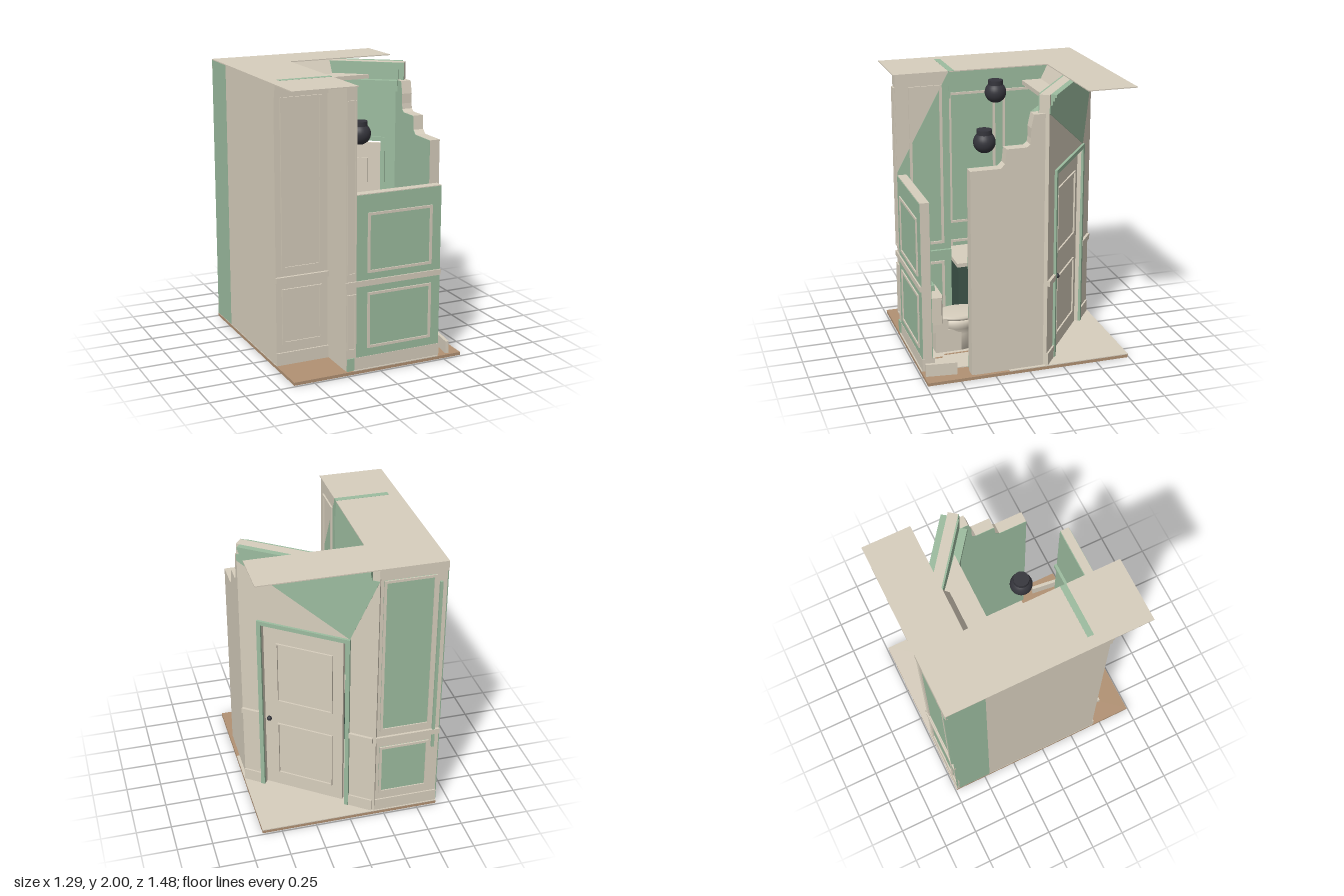
import * as THREE from 'three';

const mat = (name, color) => {
  const m = new THREE.MeshStandardMaterial({ color });
  m.name = name;
  return m;
};

export function createModel() {
  const beige = mat('warm beige', 0xd7cebd);
  const green = mat('sage green', 0x9cbc9f);
  const brown = mat('wood brown', 0xb19173);
  const black = mat('charcoal', 0x35353c);
  const dark = mat('deep green', 0x3d5449);
  const root = new THREE.Group();

  const add = (parent, name, geo, m) => {
    const mesh = new THREE.Mesh(geo, m);
    mesh.name = name;
    parent.add(mesh);
    return mesh;
  };
  // box from minimum and maximum corners
  const box = (parent, name, m, x0, x1, y0, y1, z0, z1) => {
    const b = add(parent, name, new THREE.BoxGeometry(x1 - x0, y1 - y0, z1 - z0), m);
    b.position.set((x0 + x1) / 2, (y0 + y1) / 2, (z0 + z1) / 2);
    return b;
  };
  const shapeOf = (pts) => new THREE.Shape(pts.map(([x, y]) => new THREE.Vector2(x, y)));
  const extrude = (shape, depth) => new THREE.ExtrudeGeometry(shape, { depth, bevelEnabled: false });
  // upright prism over a floor outline of [x, z] points
  const prism = (parent, name, m, pts, y0, y1) => {
    const g = extrude(shapeOf(pts.map(([x, z]) => [x, -z])), y1 - y0);
    g.rotateX(-Math.PI / 2);
    g.translate(0, y0, 0);
    return add(parent, name, g, m);
  };
  // sideways prism over a [z, y] outline
  const sidePrism = (parent, name, m, pts, x0, x1) => {
    const g = extrude(shapeOf(pts.map(([z, y]) => [-z, y])), x1 - x0);
    g.rotateY(Math.PI / 2);
    g.translate(x0, 0, 0);
    return add(parent, name, g, m);
  };
  // moulded panel facing local +z, centred on its origin; without a fill only the frame is built
  const panel = (parent, x, y, z, rotY, w, h, fill, t = 0.018) => {
    const p = new THREE.Group();
    p.name = 'wallPanel';
    p.position.set(x, y, z);
    p.rotation.y = rotY;
    if (fill) box(p, 'panelField', fill, -w / 2, w / 2, -h / 2, h / 2, 0, 0.004);
    for (const s of [-1, 1]) {
      const cx = s * (w / 2 - t / 2), cy = s * (h / 2 - t / 2);
      box(p, 'panelStile', beige, cx - t / 2, cx + t / 2, -h / 2, h / 2, 0, 0.012);
      box(p, 'panelRail', beige, -w / 2 + t, w / 2 - t, cy - t / 2, cy + t / 2, 0, 0.012);
    }
    parent.add(p);
  };
  // tall panel over a short one, as on a full height wall
  const panelPair = (parent, x, z, rotY, w, fill, top = 1.905, t = 0.018) => {
    panel(parent, x, (top + 0.72) / 2, z, rotY, w, top - 0.72, fill, t);
    panel(parent, x, 0.38, z, rotY, w, 0.4, fill, t);
  };
  // skirting and chair rail along a run from x0 to x1, s gives the facing
  const trims = (parent, x0, x1, z, s = 1) => {
    for (const [name, y0, y1, d] of [['skirting', 0.03, 0.12, 0.012], ['chairRail', 0.63, 0.67, 0.02]])
      box(parent, name, beige, x0, x1, y0, y1, Math.min(z, z + s * d), Math.max(z, z + s * d));
  };

  // floor slab, pale covering and bare strips
  box(root, 'floorSlab', brown, -0.645, 0.64, 0.003, 0.025, -0.74, 0.74);
  box(root, 'cabinetBase', dark, -0.54, -0.44, 0, 0.003, -0.33, 0.35);
  prism(root, 'floorCovering', beige, [[-0.645, -0.74], [0.64, -0.74], [0.64, 0.15], [0.615, 0.15], [0.615, 0.4],
    [0.48, 0.4], [0.455, 0.74], [-0.2, 0.74], [-0.25, 0.43], [-0.645, 0.43]], 0.024, 0.031);
  for (const [x0, x1, z0, z1] of [[-0.155, -0.138, 0.36, 0.63], [0.245, 0.262, 0.29, 0.52], [0.28, 0.298, 0.54, 0.61]])
    box(root, 'bareFloorStrip', brown, x0, x1, 0.03, 0.032, z0, z1);

  // L-shaped ceiling
  prism(root, 'ceiling', beige, [[-0.645, -0.74], [0.64, -0.74], [0.64, -0.39], [-0.175, -0.39],
    [-0.175, 0.74], [-0.645, 0.74]], 1.992, 1.999);
  prism(root, 'ceilingLedge', beige, [[-0.175, -0.39], [0.14, -0.39], [0.37, -0.2], [-0.175, -0.2]], 1.865, 1.895);
  sidePrism(root, 'ceilingCove', beige, [[-0.39, 1.992], [-0.39, 1.89], [-0.34, 1.89]], -0.175, 0.14);

  // back wall of the alcove
  box(root, 'backWall', beige, -0.645, -0.18, 0.03, 1.992, -0.722, -0.665);
  box(root, 'backWallLining', green, -0.575, -0.2, 0.03, 1.99, -0.665, -0.66);
  panelPair(root, -0.38, -0.66, 0, 0.3, green, 1.76);
  panelPair(root, -0.39, -0.722, Math.PI, 0.36, green);
  trims(root, -0.645, -0.18, -0.72, -1);
  box(root, 'backCornice', beige, -0.645, -0.18, 1.93, 1.992, -0.74, -0.722);
  box(root, 'backPipe', green, -0.61, -0.59, 0.52, 1.85, -0.738, -0.722);

  // left wall
  box(root, 'leftWall', beige, -0.643, -0.575, 0.03, 1.992, -0.722, 0.43);
  box(root, 'leftWallPaint', green, -0.645, -0.643, 0.03, 1.992, -0.735, -0.46);
  box(root, 'leftWallLining', green, -0.575, -0.57, 0.03, 1.99, -0.665, 0.345);
  panelPair(root, -0.57, -0.38, Math.PI / 2, 0.4, green, 1.74);
  panelPair(root, -0.57, 0.06, Math.PI / 2, 0.36, green, 1.74);

  // stepped crown moulding inside the alcove
  for (const [y0, y1, out] of [[1.94, 2, 0.045], [1.87, 1.94, 0.03], [1.8, 1.87, 0.015]]) {
    box(root, 'alcoveCrown', green, -0.565, -0.175, y0, y1, 0.345 - out, 0.345);
    box(root, 'alcoveCrown', green, -0.57, -0.57 + out, y0, Math.min(y1, 1.99), -0.66, 0.3);
    box(root, 'alcoveCrown', green, -0.565, -0.2, y0, Math.min(y1, 1.99), -0.66, -0.66 + out);
  }

  // front wall of the alcove with a short return towards the front
  box(root, 'frontWall', beige, -0.643, -0.18, 0.03, 1.992, 0.345, 0.43);
  box(root, 'frontWallLining', green, -0.57, -0.18, 0.03, 1.99, 0.34, 0.345);
  panelPair(root, -0.45, 0.43, 0, 0.3, beige);
  trims(root, -0.645, -0.255, 0.43);
  box(root, 'frontCornice', beige, -0.645, -0.255, 1.91, 1.96, 0.43, 0.445);
  box(root, 'frontCornice', beige, -0.645, -0.255, 1.96, 1.992, 0.43, 0.455);
  box(root, 'returnWall', beige, -0.255, -0.18, 0.03, 1.992, 0.43, 0.728);
  panelPair(root, -0.2175, 0.728, 0, 0.066, beige, 1.905, 0.01);
  sidePrism(root, 'returnPaint', green, [[0.345, 0.03], [0.728, 0.03], [0.728, 1.29], [0.345, 1.99]], -0.18, -0.177);
  panelPair(root, -0.177, 0.515, Math.PI / 2, 0.24, null);
  box(root, 'returnSkirting', green, -0.18, -0.162, 0.03, 0.12, 0.345, 0.66);
  box(root, 'returnRail', green, -0.18, -0.155, 0.63, 0.67, 0.345, 0.66);
  box(root, 'returnEndSkirting', green, -0.25, -0.195, 0.03, 0.12, 0.728, 0.736);
  box(root, 'returnEndRail', beige, -0.262, -0.18, 0.63, 0.67, 0.728, 0.74);

  // low front wall
  box(root, 'lowWall', beige, -0.18, 0.462, 0.03, 1.27, 0.662, 0.727);
  box(root, 'lowWallFace', green, -0.18, 0.462, 0.12, 1.265, 0.727, 0.73);
  box(root, 'lowWallBack', green, -0.18, 0.462, 0.12, 1.265, 0.657, 0.662);
  box(root, 'lowWallInnerRail', green, -0.18, 0.465, 0.63, 0.67, 0.635, 0.66);
  box(root, 'lowWallInnerSkirting', beige, -0.18, 0.46, 0.03, 0.12, 0.642, 0.662);
  panel(root, 0.146, 0.93, 0.728, 0, 0.49, 0.42, green);
  panel(root, 0.146, 0.38, 0.728, 0, 0.49, 0.4, green);
  trims(root, -0.18, 0.465, 0.72);

  // cut-away right wall with stepped top
  const step = [[-0.1, 0.03], [0.42, 0.03], [0.42, 1.51], [0.21, 1.51], [0.18, 1.54], [0.17, 1.64], [0.03, 1.64],
    [0.005, 1.66], [0, 1.7], [0, 1.77], [-0.02, 1.86], [-0.1, 1.86]];
  sidePrism(root, 'rightWall', beige, step, 0.54, 0.618);
  sidePrism(root, 'rightWallLining', green, step, 0.537, 0.54);
  const stub = box(root, 'looseSkirting', beige, -0.012, 0.012, 0.03, 0.12, -0.11, 0.11);
  stub.position.set(0.55, 0.075, 0.62);
  stub.rotation.y = -0.12;

  // diagonal wall with doorway, built along local x with +z facing indoors
  const diag = new THREE.Group();
  diag.name = 'diagonalWall';
  diag.position.set(-0.18, 0, -0.735);
  diag.rotation.y = -Math.atan2(0.62, 0.82);
  root.add(diag);
  const L = 1.015, T = 0.072, d0 = 0.225, d1 = 0.85;
  const wallShape = (x0) => shapeOf([[x0, 0.03], [d0, 0.03], [d0, 1.4], [d1, 1.4], [d1, 0.03], [L, 0.03], [L, 1.985], [x0, 1.985]]);
  add(diag, 'doorWall', extrude(wallShape(0), T), beige);
  add(diag, 'doorWallLining', extrude(wallShape(0.06), 0.005), green).position.z = T;
  const tri = add(diag, 'paintTriangle', extrude(shapeOf([[0.2, 1.43], [L, 1.86], [L, 1.91], [0, 1.91]]), 0.004), green);
  tri.position.z = -0.004;
  for (const [z0, z1] of [[-0.018, 0], [T, T + 0.02]]) {
    box(diag, 'doorJamb', green, d0 - 0.03, d0, 0.03, 1.43, z0, z1);
    box(diag, 'doorJamb', green, d1, d1 + 0.03, 0.03, 1.43, z0, z1);
    box(diag, 'doorHead', green, d0, d1, 1.4, 1.43, z0, z1);
  }
  trims(diag, 0.02, d0 - 0.03, 0, -1);
  trims(diag, d1 + 0.03, L, 0, -1);
  for (const [y0, y1, out] of [[1.91, 1.94, 0.014], [1.94, 1.965, 0.028], [1.965, 1.985, 0.042]])
    box(diag, 'outerCrown', green, 0.05, 0.99, y0, y1, -out, 0);
  for (const [y0, y1, out] of [[1.78, 1.82, 0.04], [1.82, 1.86, 0.065], [1.86, 1.985, 0.012]])
    box(diag, 'innerCrown', green, 0.08, L - 0.04, y0, y1, T, T + out);
  // door leaf, leaving a gap at the top
  box(diag, 'doorLeaf', beige, d0 + 0.03, d1 - 0.005, 0.04, 1.375, 0.02, 0.05);
  for (const [y, h] of [[1.02, 0.48], [0.37, 0.44]]) {
    panel(diag, 0.54, y, 0.02, Math.PI, 0.42, h, null, 0.01);
    panel(diag, 0.54, y, 0.05, 0, 0.42, h, null, 0.01);
  }
  for (const z of [-0.005, 0.075])
    add(diag, 'doorKnob', new THREE.SphereGeometry(0.018, 16, 12), black).position.set(0.805, 0.63, z);

  // vanity cabinet in the alcove
  box(root, 'vanity', dark, -0.57, -0.21, 0.03, 0.5, -0.65, 0.28);
  box(root, 'vanityTop', beige, -0.57, -0.195, 0.5, 0.53, -0.655, 0.29);
  add(root, 'tap', new THREE.CylinderGeometry(0.012, 0.018, 0.09, 12), black).position.set(-0.45, 0.575, -0.3);

  // globe lamps
  for (const [x, y, z] of [[0.115, 1.55, 0.17], [-0.376, 1.77, -0.065]]) {
    const lamp = new THREE.Group();
    lamp.name = 'globeLamp';
    lamp.position.set(x, y, z);
    add(lamp, 'globe', new THREE.SphereGeometry(0.079, 28, 18), black);
    add(lamp, 'lampCap', new THREE.CylinderGeometry(0.055, 0.055, 0.04, 28), black).position.y = 0.07;
    root.add(lamp);
  }

  // toilet
  const toilet = new THREE.Group();
  toilet.name = 'toilet';
  toilet.position.set(0.145, 0, 0.38);
  root.add(toilet);
  const oval = (name, pts) => {
    const g = new THREE.LatheGeometry(pts.map(([r, y]) => new THREE.Vector2(r, y)), 32);
    g.scale(0.68, 1, 1);
    return add(toilet, name, g, beige);
  };
  oval('bowl', [[0, 0.03], [0.1, 0.03], [0.09, 0.15], [0.12, 0.2], [0.165, 0.28], [0, 0.28]]);
  oval('seatLid', [[0, 0.283], [0.172, 0.283], [0.172, 0.3], [0.155, 0.312], [0, 0.312]]);
  box(toilet, 'pedestal', beige, -0.07, 0.07, 0.03, 0.2, 0, 0.19);
  box(toilet, 'seatHinge', beige, -0.09, 0.09, 0.2, 0.3, 0.1, 0.22);
  const tankPlan = [[-0.14, 0.16], [-0.1, 0.145], [0.1, 0.145], [0.14, 0.16], [0.135, 0.23], [0.115, 0.25], [-0.115, 0.25], [-0.135, 0.23]];
  prism(toilet, 'tank', beige, tankPlan.map(([x, z]) => [x * 0.94, z]), 0.28, 0.47);
  prism(toilet, 'tankLid', beige, tankPlan, 0.47, 0.49);
  add(toilet, 'flushButton', new THREE.CylinderGeometry(0.01, 0.01, 0.01, 16), beige).position.set(0, 0.494, 0.215);

  return root;
}
